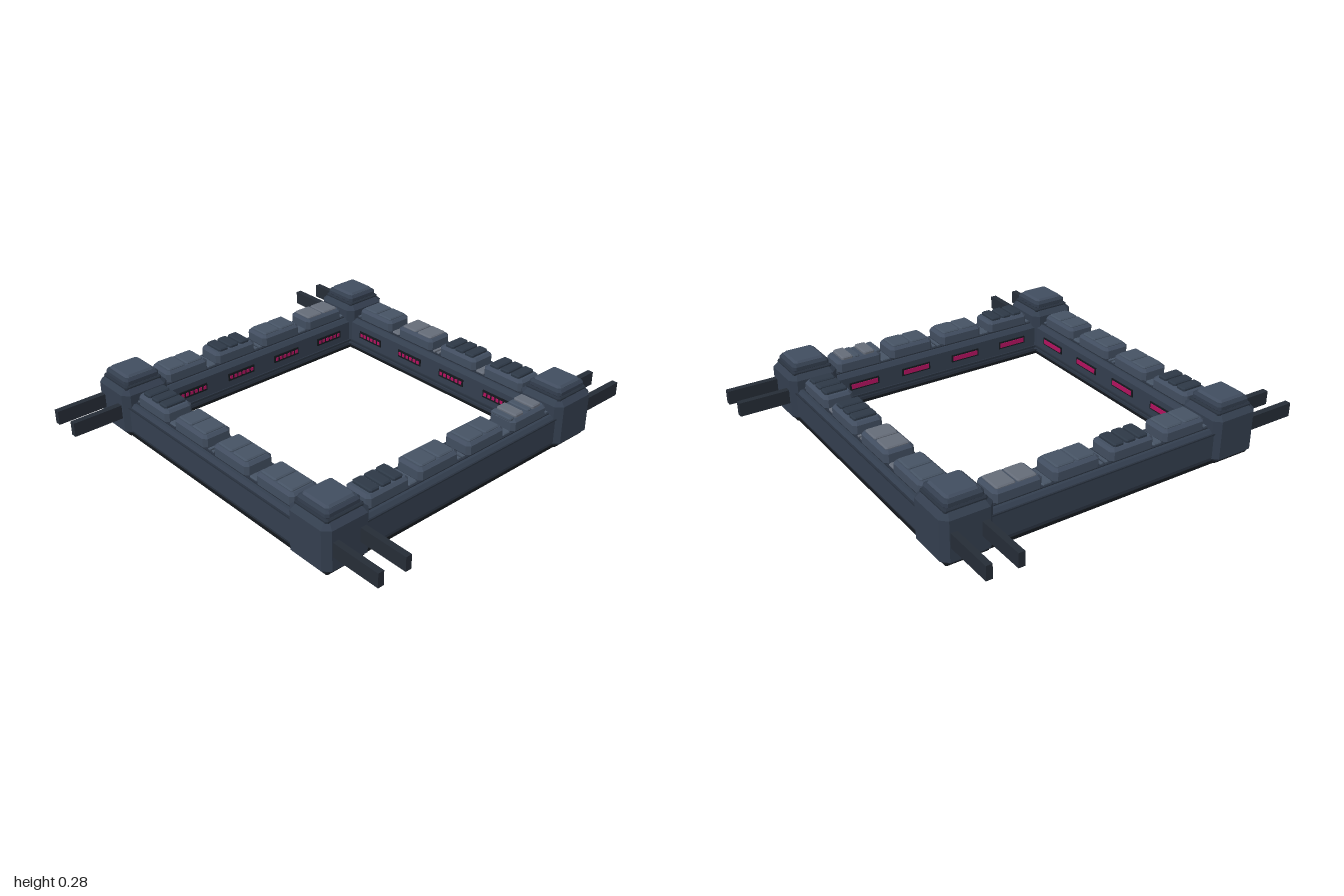
import * as THREE from 'three';

const mat = (color) => new THREE.MeshStandardMaterial({ color });
const M = {
  body: mat(0x333e4e), block: mat(0x414d5f), pad: mat(0x465364), slat: mat(0x2d3846),
  light: mat(0x656c78), lip: mat(0x28313e), prong: mat(0x252c36), base: mat(0x14181d),
  glow: mat(0xb3125f),
};

// Box with every edge chamfered by c, standing on y
function chamferBox(name, material, w, h, d, c, x, y, z) {
  const a = w / 2 - c, b = d / 2 - c, k = c * 0.7;
  const shape = new THREE.Shape([
    [-a + k, -b], [a - k, -b], [a, -b + k], [a, b - k],
    [a - k, b], [-a + k, b], [-a, b - k], [-a, -b + k],
  ].map((p) => new THREE.Vector2(...p)));
  const geo = new THREE.ExtrudeGeometry(shape, {
    depth: h - 2 * c, bevelEnabled: true, bevelThickness: c, bevelSize: c, bevelSegments: 1,
  });
  geo.rotateX(-Math.PI / 2).translate(0, c, 0);
  const mesh = new THREE.Mesh(geo, material);
  mesh.name = name;
  mesh.position.set(x, y, z);
  return mesh;
}

// Plain box given by its centre
function box(name, material, w, h, d, x, y, z) {
  const mesh = new THREE.Mesh(new THREE.BoxGeometry(w, h, d), material);
  mesh.name = name;
  mesh.position.set(x, y, z);
  return mesh;
}

// Beam of constant section running along x; points are [z, y]
function beam(name, material, points, length) {
  const shape = new THREE.Shape(points.map(([z, y]) => new THREE.Vector2(-z, y)));
  const geo = new THREE.ExtrudeGeometry(shape, { depth: length, bevelEnabled: false });
  geo.translate(0, 0, -length / 2).rotateY(Math.PI / 2 * -1).rotateY(Math.PI);
  const mesh = new THREE.Mesh(geo, material);
  mesh.name = name;
  return mesh;
}

const Z = 0.65; // centre line of a rail
const BAYS = [-0.408, -0.136, 0.136, 0.408];

// Raised block with square pads or narrow slats on top
function makeBlock(x, kind) {
  const g = new THREE.Group();
  g.name = 'railBlock';
  g.add(chamferBox('blockBody', M.block, 0.22, 0.063, 0.135, 0.012, x, 0.157, Z));
  const light = kind.startsWith('light');
  if (kind === 'slats') {
    for (const i of [-1, 0, 1])
      g.add(chamferBox('slat', M.slat, 0.05, 0.022, 0.105, 0.005, x + i * 0.06, 0.212, Z));
  } else if (kind === 'lightSlats') {
    for (const i of [-1, 1]) {
      g.add(chamferBox('lightSlat', M.light, 0.055, 0.022, 0.105, 0.005, x + i * 0.055, 0.212, Z));
      g.add(chamferBox('thinSlat', M.pad, 0.03, 0.016, 0.105, 0.004, x + i * 0.055 - 0.045, 0.212, Z));
    }
  } else {
    for (const i of [-1, 1])
      g.add(chamferBox('pad', light ? M.light : M.pad, 0.088, 0.016, 0.105, 0.005, x + i * 0.048, 0.212, Z));
  }
  return g;
}

// Lamp on the inner face: one bar or a row of dots
function makeLamp(x, dotted) {
  const g = new THREE.Group();
  g.name = 'innerLamp';
  g.add(box('lampHousing', M.base, 0.15, 0.036, 0.008, x, 0.1, 0.556));
  if (!dotted) g.add(box('lampBar', M.glow, 0.134, 0.022, 0.008, x, 0.1, 0.553));
  else for (let i = 0; i < 6; i++)
    g.add(box('lampDot', M.glow, 0.015, 0.016, 0.008, x + (i - 2.5) * 0.024, 0.1, 0.553));
  return g;
}

// Corner post with stepped cap and two prongs pointing outward
function makeCorner() {
  const g = new THREE.Group();
  g.name = 'cornerPost';
  const p = 0.653;
  g.add(chamferBox('postBody', M.body, 0.23, 0.222, 0.23, 0.022, -p, 0.006, p));
  g.add(chamferBox('postFoot', M.base, 0.19, 0.02, 0.19, 0.004, -p, 0, p));
  g.add(chamferBox('capBase', M.lip, 0.185, 0.02, 0.185, 0.006, -p, 0.22, p));
  g.add(chamferBox('capLower', M.body, 0.172, 0.036, 0.172, 0.01, -p, 0.232, p));
  g.add(chamferBox('capUpper', M.block, 0.145, 0.026, 0.145, 0.009, -p, 0.253, p));
  for (const x of [-0.722, -0.588])
    g.add(box('prong', M.prong, 0.028, 0.064, 0.26, x, 0.124, 0.87));
  return g;
}

// One side of the frame, built as the front side
function makeSide(kinds, dotted, lightGaps) {
  const g = new THREE.Group();
  g.add(beam('rail', M.body, [
    [0.562, 0.012], [0.735, 0.012], [0.746, 0.035], [0.746, 0.142], [0.728, 0.162],
    [0.575, 0.162], [0.557, 0.145], [0.557, 0.03],
  ], 1.15));
  g.add(box('railBase', M.base, 1.2, 0.014, 0.178, 0, 0.007, Z));
  g.add(box('outerLip', M.lip, 1.1, 0.006, 0.008, 0, 0.146, 0.7455));
  g.add(box('innerLip', M.lip, 1.1, 0.01, 0.012, 0, 0.045, 0.556));
  g.add(box('topChannel', M.lip, 1.1, 0.006, 0.13, 0, 0.163, Z));
  BAYS.forEach((x, i) => {
    g.add(makeBlock(x, kinds[i]));
    g.add(makeLamp(x, dotted));
  });
  // Filler plates between the blocks
  const fill = lightGaps ? M.light : M.pad;
  for (const s of [-1, 1]) {
    g.add(chamferBox('gapPlate', fill, 0.046, 0.014, 0.115, 0.004, s * 0.272, 0.16, Z));
    g.add(box('gapStrip', fill, 0.014, 0.012, 0.115, s * 0.012, 0.166, Z));
    g.add(box('endStrip', M.pad, 0.014, 0.012, 0.115, s * 0.53, 0.166, Z));
  }
  g.add(makeCorner());
  return g;
}

export function createModel() {
  const model = new THREE.Group();
  model.name = 'squareFrame';
  const sides = [
    ['frontSide', ['slats', 'pads', 'pads', 'pads'], false, false],
    ['leftSide', ['slats', 'pads', 'pads', 'lightSlats'], false, false],
    ['backSide', ['slats', 'slats', 'lightPads', 'pads'], true, true],
    ['rightSide', ['lightPads', 'pads', 'slats', 'pads'], true, false],
  ];
  sides.forEach(([name, kinds, dotted, lightGaps], i) => {
    const side = makeSide(kinds, dotted, lightGaps);
    side.name = name;
    side.rotation.y = i * Math.PI / 2;
    model.add(side);
  });
  return model;
}
